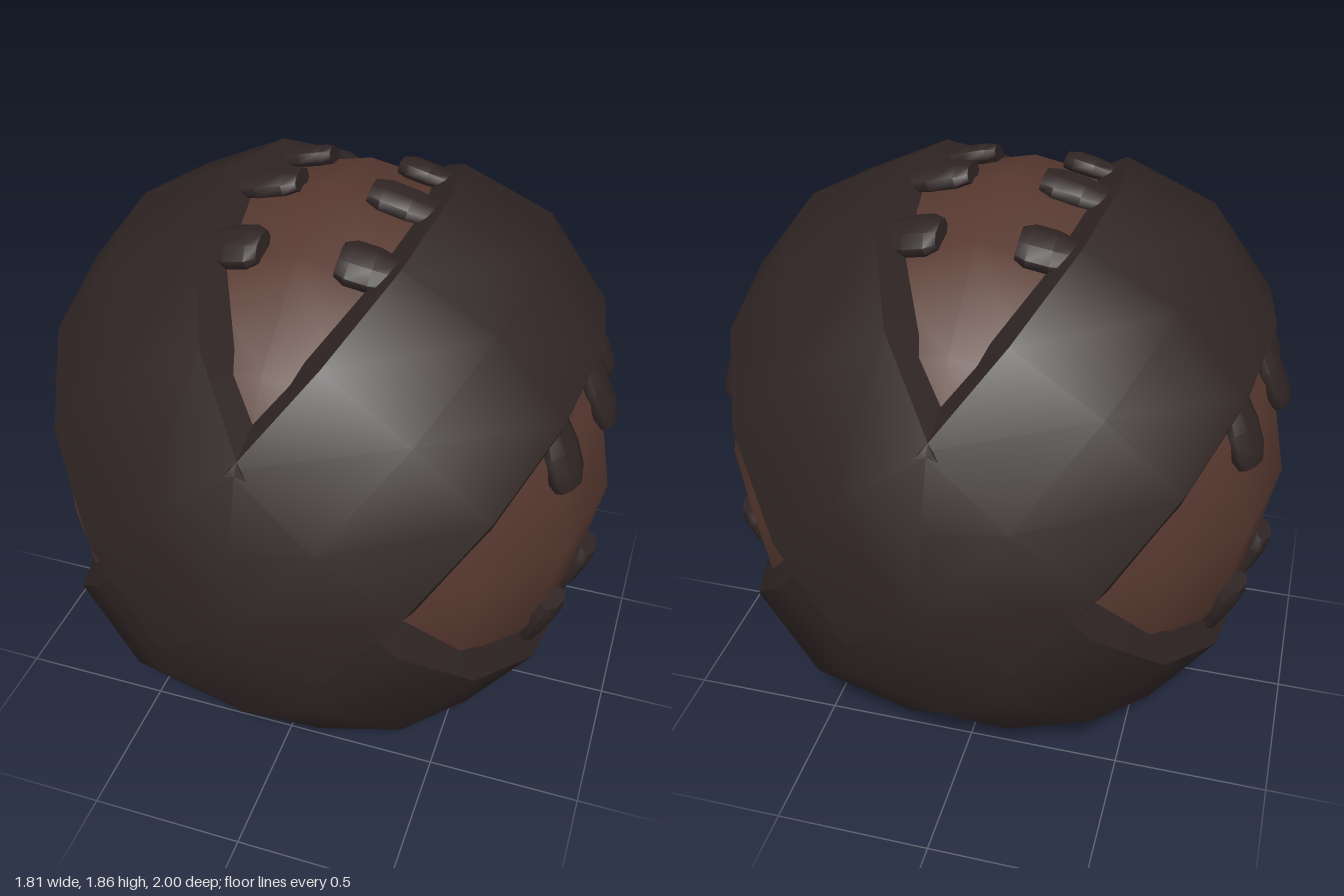
import * as THREE from 'three';
import { toCreasedNormals } from 'three/addons/utils/BufferGeometryUtils.js';

const CENTER_Y = 0.938;
const BAND_ANGLE = THREE.MathUtils.degToRad(51);
const SIDES = 16;

const lathe = (pts, sides) =>
  new THREE.LatheGeometry(pts.map(([r, y]) => new THREE.Vector2(r, y)), sides);

export function createModel() {
  const model = new THREE.Group();
  model.name = 'stitchedBall';
  const body = new THREE.Group();
  body.name = 'ball';
  body.position.y = CENTER_Y;
  model.add(body);

  const shellMat = new THREE.MeshStandardMaterial({ color: 0x2f2424 });
  shellMat.name = 'dark shell';
  const coreMat = new THREE.MeshStandardMaterial({ color: 0x56382f });
  coreMat.name = 'brown core';

  const add = (parent, name, geometry, material) => {
    const mesh = new THREE.Mesh(geometry, material);
    mesh.name = name;
    parent.add(mesh);
    return mesh;
  };

  // Inner ball, poles facing front and back
  add(body, 'core', new THREE.SphereGeometry(0.905, SIDES, 8).rotateX(Math.PI / 2), coreMat);

  // Two crossing bands, each a faceted ring with sloping side walls
  const lower = [0.923, -0.323], upper = [0.923, 0.307];
  const outer = lathe([lower, [1, 0], upper], SIDES);
  const lowerWall = lathe([[0.75, -0.388], lower], SIDES);
  const upperWall = lathe([upper, [0.75, 0.357]], SIDES);
  for (const side of [1, -1]) {
    const band = new THREE.Group();
    band.name = side > 0 ? 'leftRisingBand' : 'rightRisingBand';
    // half turn keeps the wider edge facing the side opening on both ends
    band.rotation.z = side * BAND_ANGLE;
    add(band, 'bandSurface', outer, shellMat);
    add(band, 'lowerBandWall', lowerWall, shellMat);
    add(band, 'upperBandWall', upperWall, shellMat);
    body.add(band);
  }

  // Stubby tooth: blunt inner end, tapered outer end (unit size)
  const tooth = toCreasedNormals(
    lathe([[0, -0.5], [0.4, -0.5], [0.53, -0.32], [0.53, 0.05], [0.38, 0.5], [0, 0.5]], 8)
      .rotateY(Math.PI / 8), 0.8);

  // Three teeth along each edge of the four openings
  const openings = ['top', 'right', 'bottom', 'left'];
  openings.forEach((name, k) => {
    const row = new THREE.Group();
    row.name = name + 'Teeth';
    row.rotation.z = k * Math.PI / 2;
    body.add(row);
    const wide = k % 2 === 1;
    for (const side of [1, -1]) {
      for (const z of [-0.31, 0, 0.31]) {
        const mid = z === 0;
        const x = wide ? (mid ? 0.365 : 0.325) : (mid ? 0.22 : 0.2);
        const length = wide ? (mid ? 0.25 : 0.215) : (mid ? 0.23 : 0.18);
        const r = 0.9;
        const p = new THREE.Vector3(side * x, Math.sqrt(r * r - x * x - z * z), z);
        const normal = p.clone().normalize();
        const along = new THREE.Vector3(side, 0, 0).projectOnPlane(normal).normalize();
        const across = along.clone().cross(normal);
        const mesh = add(row, 'tooth', tooth, shellMat);
        mesh.quaternion.setFromRotationMatrix(
          new THREE.Matrix4().makeBasis(across, along, normal));
        mesh.position.copy(p);
        mesh.scale.set(0.145, length, 0.075);
      }
    }
  });

  return model;
}
